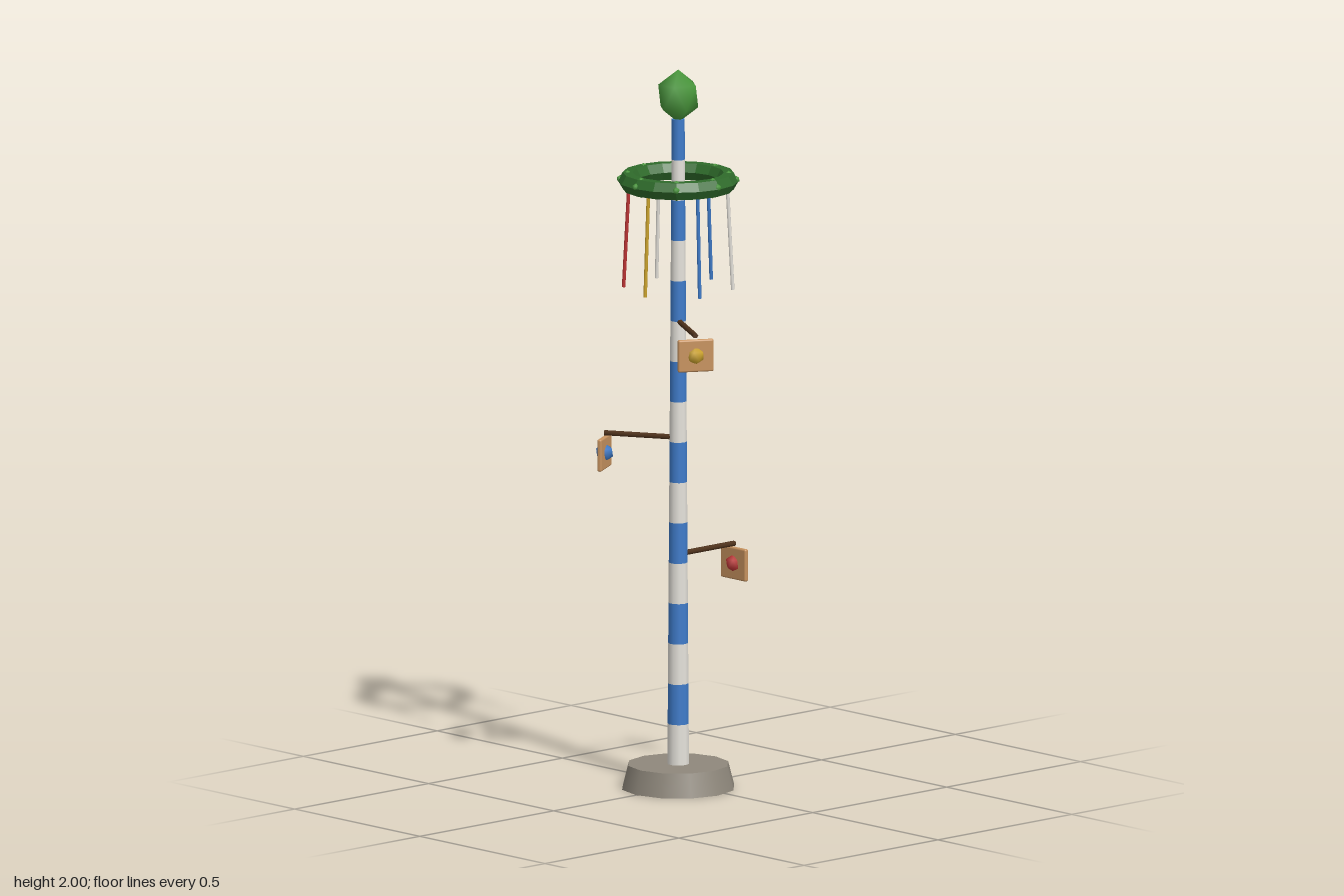
import * as THREE from 'three';
import { mergeVertices } from 'three/addons/utils/BufferGeometryUtils.js';
import { RoundedBoxGeometry } from 'three/addons/geometries/RoundedBoxGeometry.js';

const mat = (name, color) => Object.assign(new THREE.MeshStandardMaterial({ color }), { name });

// Low-poly ball with a vertex on top and smooth normals
function ballGeometry(radius) {
  const g = new THREE.IcosahedronGeometry(radius, 0);
  g.deleteAttribute('normal');
  g.deleteAttribute('uv');
  g.rotateX(-Math.atan((1 + Math.sqrt(5)) / 2)).rotateY(Math.PI / 2);
  const merged = mergeVertices(g, 1e-4);
  merged.computeVertexNormals();
  return merged;
}

export function createModel() {
  const stone = mat('stone', 0x8f887c), white = mat('white', 0xe6e3dc), blue = mat('blue', 0x3f7ccb);
  const leaf = mat('leafGreen', 0x4a9a3c), wreathGreen = mat('wreathGreen', 0x2f6b2b);
  const darkWood = mat('darkWood', 0x50331c), wood = mat('lightWood', 0xc8935f);
  const red = mat('red', 0xc03535), yellow = mat('yellow', 0xcfa62e);

  const model = new THREE.Group();
  model.name = 'maypole';
  const pole = new THREE.Group();
  pole.name = 'poleAssembly';
  pole.position.x = -0.035;
  model.add(pole);

  const add = (name, geometry, material, parent = pole, x = 0, y = 0, z = 0) => {
    const mesh = new THREE.Mesh(geometry, material);
    mesh.name = name;
    mesh.position.set(x, y, z);
    parent.add(mesh);
    return mesh;
  };

  // Stone foot
  add('base', new THREE.CylinderGeometry(0.14, 0.157, 0.066, 12), stone, pole, 0, 0.033, 0);

  // Tapered pole in alternating stripes
  const stripes = 16, y0 = 0.066, y1 = 1.862, step = (y1 - y0) / stripes;
  const poleRadius = (i) => THREE.MathUtils.lerp(0.03, 0.018, i / stripes);
  for (let i = 0; i < stripes; i++) {
    const capless = i < stripes - 1;
    const g = new THREE.CylinderGeometry(poleRadius(i + 1), poleRadius(i), step, 10, 1, capless);
    add('poleStripe', g, i % 2 ? blue : white, pole, 0, y0 + (i + 0.5) * step, 0);
  }

  // Bud on top
  add('finial', ballGeometry(0.0615).scale(1, 1.2, 1), leaf, pole, 0, 1.926, 0);

  // Wreath ring with leaf buds on its top, outside and underside
  const ringY = 1.69, ringR = 0.138, tubeR = 0.027;
  const ring = new THREE.TorusGeometry(ringR, tubeR, 6, 16).rotateX(Math.PI / 2).toNonIndexed();
  ring.computeVertexNormals();
  add('wreath', ring, wreathGreen, pole, 0, ringY, 0);
  const bud = ballGeometry(0.0105);
  for (let i = 0; i < 8; i++) {
    const a = (i * Math.PI) / 4;
    for (const [r, dy] of [[ringR, 0.018], [ringR + 0.02, 0.004], [ringR, -0.018]]) {
      add('wreathBud', bud, leaf, pole, r * Math.cos(a), ringY + dy, -r * Math.sin(a));
    }
  }

  // Hanging ribbons, leaning slightly outward
  const up = new THREE.Vector3(0, 1, 0);
  [blue, white, red, yellow, blue, white].forEach((material, i) => {
    const a = THREE.MathUtils.degToRad(10 + i * 60);
    const at = (r, y) => new THREE.Vector3(r * Math.cos(a), y, -r * Math.sin(a));
    const top = at(0.135, 1.68), bottom = at(0.15, 1.39);
    const dir = top.clone().sub(bottom);
    const ribbon = add('ribbon', new THREE.CylinderGeometry(0.005, 0.005, dir.length(), 6), material);
    ribbon.position.copy(top).add(bottom).multiplyScalar(0.5);
    ribbon.quaternion.setFromUnitVectors(up, dir.normalize());
  });

  // Side arms, each with a hanging sign and a coloured ball through it
  [[0.65, red], [0.975, blue], [1.3, yellow]].forEach(([y, material], i) => {
    const a = (i * 2 * Math.PI) / 3;
    const arm = new THREE.Group();
    arm.name = 'signArm';
    arm.position.y = y;
    arm.rotation.y = a;
    pole.add(arm);
    const bar = new THREE.CylinderGeometry(0.0075, 0.0075, 0.21, 6).rotateZ(Math.PI / 2);
    add('armBar', bar, darkWood, arm, 0.105, 0, 0);
    add('signBoard', new RoundedBoxGeometry(0.013, 0.09, 0.1, 2, 0.005), wood, arm, 0.21, -0.055, 0);
    const ball = add('signBall', ballGeometry(0.026), material, arm, 0.21, -0.055, 0);
    ball.rotation.y = -a;
  });

  return model;
}
